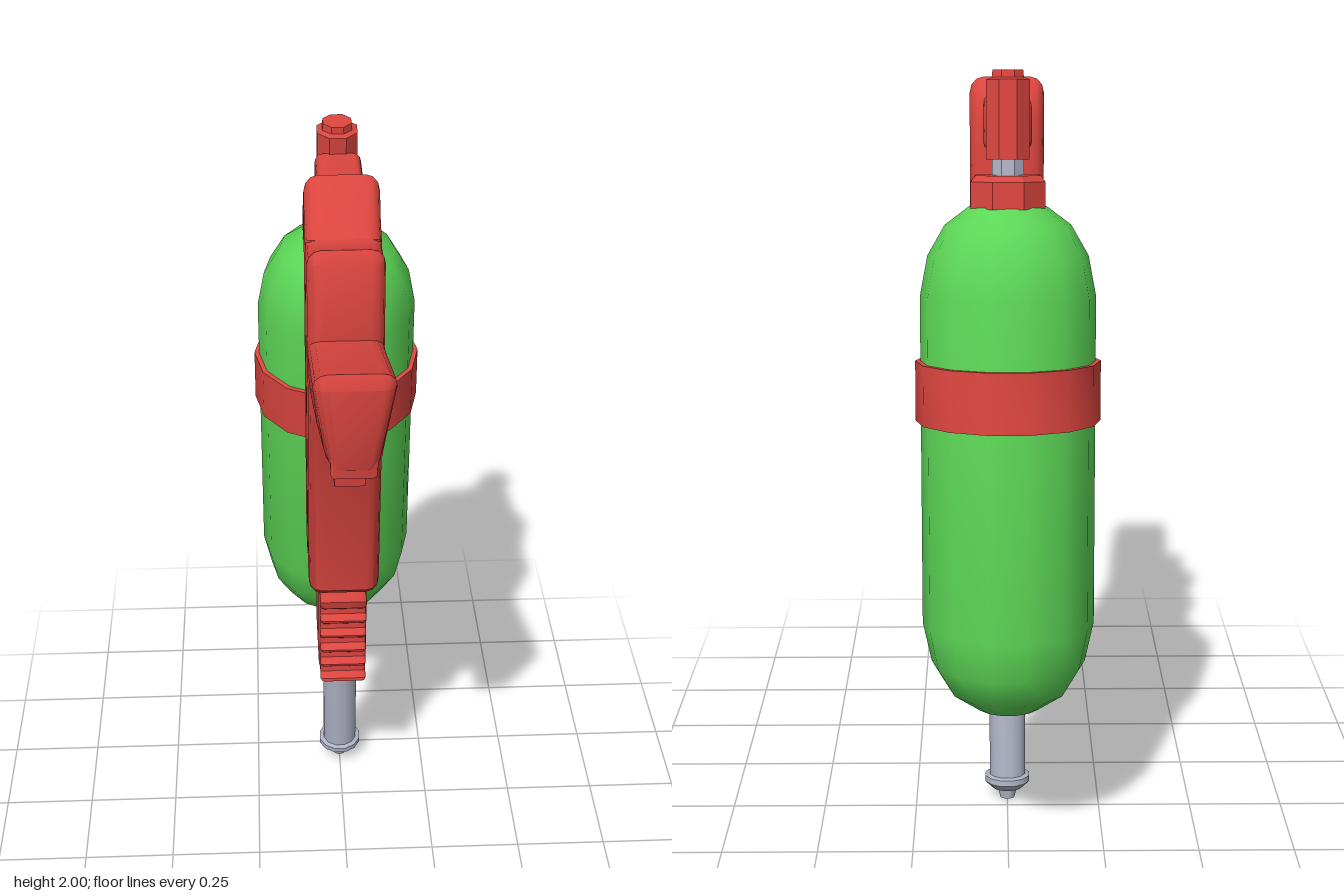
import * as THREE from 'three';
import { toCreasedNormals } from 'three/addons/utils/BufferGeometryUtils.js';

const TILT = 0.122; // lean shared by barrel, tank and caps

export function createModel() {
  const model = new THREE.Group();
  model.name = 'waterBlaster';
  const red = new THREE.MeshStandardMaterial({ color: 0xdb453f });
  red.name = 'red plastic';
  const green = new THREE.MeshStandardMaterial({ color: 0x5cd656 });
  green.name = 'green tank';
  const grey = new THREE.MeshStandardMaterial({ color: 0xb0b4c6 });
  grey.name = 'grey tube';

  const add = (name, geometry, material) => {
    const mesh = new THREE.Mesh(geometry, material);
    mesh.name = name;
    model.add(mesh);
    return mesh;
  };

  // Side profile [-z, y] extruded across x with rounded edges kept inside the outline
  const slab = (name, points, half, bevel, rule, material = red) => {
    const shape = new THREE.Shape(points.map(([u, y]) => new THREE.Vector2(u, y)));
    const depth = 2 * (half - bevel);
    const geo = new THREE.ExtrudeGeometry(shape, {
      depth, bevelEnabled: bevel > 0, bevelSize: bevel, bevelThickness: bevel,
      bevelOffset: -bevel, bevelSegments: 3,
    });
    geo.translate(0, 0, -depth / 2);
    if (rule) {
      const p = geo.attributes.position;
      for (let i = 0; i < p.count; i++) p.setZ(i, p.getZ(i) * rule(p.getX(i), p.getY(i)));
    }
    geo.rotateY(Math.PI / 2);
    return add(name, toCreasedNormals(geo, 0.65), material);
  };

  // Turned part [radius, height] standing on the leaning axis at (z, y)
  const turned = (name, points, z, y, sides, material, crease = 0.6) => {
    const geo = new THREE.LatheGeometry(
      points.map(([r, h]) => new THREE.Vector2(r, h)), sides, Math.PI / sides);
    const mesh = add(name, toCreasedNormals(geo, crease), material);
    mesh.position.set(0, y, z);
    mesh.rotation.x = TILT;
    return mesh;
  };
  const solid = (r, h) => [[0, 0], [r, 0], [r, h], [0, h]];

  // Body: two rounded lobes meeting in a shallow groove
  slab('frontBody', [
    [-0.25, 1.84], [-0.23, 1.87], [-0.16, 1.845], [-0.09, 1.84], [-0.05, 1.86],
    [0.035, 0.81], [-0.1, 0.80], [-0.135, 0.83], [-0.2, 1.34], [-0.25, 1.42],
  ], 0.095, 0.035);
  slab('rearBody', [
    [-0.1, 1.84], [-0.04, 1.88], [0.0, 1.94], [0.035, 1.955], [0.075, 1.925], [0.1, 1.86],
    [0.09, 1.63], [0.178, 0.88], [0.165, 0.83], [0.13, 0.817], [0.01, 0.805], [-0.06, 1.5],
  ], 0.095, 0.035);
  slab('topArm', [
    [0.01, 1.92], [0.09, 1.915], [0.26, 1.925], [0.275, 1.91], [0.275, 1.815],
    [0.26, 1.8], [0.1, 1.775], [0.01, 1.765],
  ], 0.06, 0.02);

  // Grip narrows towards the finger side
  const narrow = (u, y) => {
    const top = 1.765 - 0.3 * (u + 0.67);
    return 1 - 0.45 * THREE.MathUtils.clamp((top - y - 0.1) / 0.17, 0, 1);
  };
  slab('grip', [
    [-0.665, 1.765], [-0.62, 1.755], [-0.25, 1.64], [-0.19, 1.64], [-0.19, 1.45], [-0.25, 1.46],
    [-0.35, 1.535], [-0.45, 1.545], [-0.56, 1.555], [-0.61, 1.5], [-0.632, 1.5], [-0.68, 1.73],
  ], 0.095, 0.035, narrow);
  slab('fingerScallops', [
    [-0.64, 1.6], [-0.627, 1.475], [-0.6, 1.51], [-0.562, 1.533], [-0.525, 1.506],
    [-0.505, 1.53], [-0.478, 1.538], [-0.44, 1.5], [-0.42, 1.52], [-0.398, 1.517],
    [-0.36, 1.468], [-0.345, 1.488], [-0.318, 1.49], [-0.285, 1.452], [-0.24, 1.41],
    [-0.2, 1.34], [-0.19, 1.6],
  ], 0.055, 0.01);
  slab('triggerGuard', [
    [-0.455, 1.54], [-0.428, 1.335], [-0.255, 1.3], [-0.19, 1.315], [-0.19, 1.34],
    [-0.255, 1.322], [-0.405, 1.353], [-0.432, 1.54],
  ], 0.038, 0);

  // Sliding pump handle with a ridged front
  const ridged = [[-0.105, 0.77]];
  for (let i = 0; i < 5; i++) {
    const y = 0.745 - i * 0.054, u = -0.098 + i * 0.0066;
    ridged.push([u, y], [u + 0.024, y - 0.018], [u + 0.024, y - 0.034], [u + 0.004, y - 0.046]);
  }
  ridged.push([-0.068, 0.473], [0.0, 0.48], [0.0, 0.783]);
  slab('pumpRidges', ridged, 0.064, 0.01);
  slab('pumpHandle', [
    [-0.045, 0.778], [0.17, 0.802], [0.207, 0.503], [-0.01, 0.478],
  ], 0.067, 0.012);

  // Barrel with nozzle, and the thin pump rod beside it
  turned('barrel', [
    [0, 0], [0.02, 0], [0.026, 0.025], [0.042, 0.03], [0.062, 0.05], [0.062, 0.066],
    [0.05, 0.07], [0.05, 0.88], [0, 0.88],
  ], -0.204, 0.003, 12, grey);
  turned('pumpRod', solid(0.025, 0.2), 0.012, 0.7, 8, grey, 0.9);

  // Tank
  const tankZ = -0.49, tankY = 0.403;
  turned('tank', [
    [0, 0], [0.08, 0.008], [0.15, 0.055], [0.195, 0.13], [0.217, 0.23], [0.217, 1.06],
    [0.198, 1.16], [0.155, 1.235], [0.095, 1.28], [0, 1.285],
  ], tankZ, tankY, 14, green);

  // Strap round the tank, with a bracket to the body
  const along = (h) => [tankZ + Math.sin(TILT) * h, tankY + Math.cos(TILT) * h];
  turned('tankStrap', [
    [0.21, 0], [0.23, 0], [0.23, 0.15], [0.21, 0.15], [0.21, 0],
  ], ...along(0.75), 14, red);
  const bracket = add('strapBracket', new THREE.BoxGeometry(0.14, 0.145, 0.13), red);
  bracket.position.set(0, 1.195, -0.195);
  bracket.rotation.x = TILT;

  // Filler neck and the caps above the tank
  turned('tankCap', [[0, 0], [0.098, 0], [0.098, 0.065], [0.085, 0.08], [0, 0.08]],
    -0.34, 1.67, 8, red, 0.4);
  turned('neck', solid(0.042, 0.1), -0.328, 1.73, 8, grey, 0.4);
  turned('valveCap', [
    [0, 0], [0.057, 0], [0.057, 0.19], [0.042, 0.195], [0.04, 0.213], [0, 0.213],
  ], -0.325, 1.787, 8, red, 0.4);

  return model;
}
